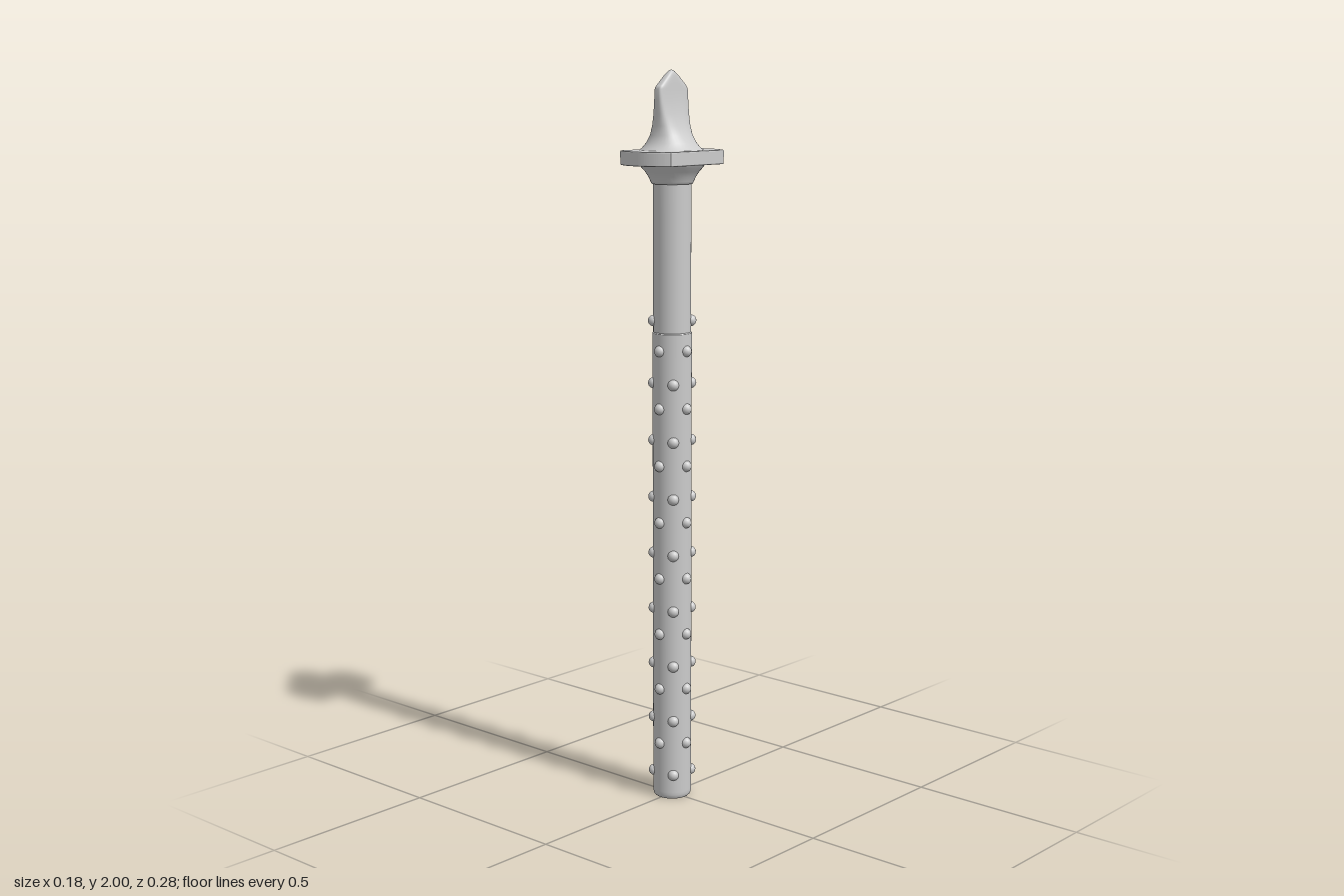
import * as THREE from 'three';

const material = new THREE.MeshStandardMaterial({ color: 0xcccccc, roughness: 0.7 });

function addMesh(parent, name, geometry) {
  const mesh = new THREE.Mesh(geometry, material);
  mesh.name = name;
  parent.add(mesh);
  return mesh;
}

function lathe(points, sides = 40) {
  return new THREE.LatheGeometry(points.map(([r, y]) => new THREE.Vector2(r, y)), sides);
}

// Flange outline: a disc with its left and right sides cut flat
function flangeGeometry() {
  const halfWidth = 0.087, radius = 0.135, bevel = 0.003;
  const a = Math.acos(halfWidth / radius);
  const shape = new THREE.Shape();
  shape.absarc(0, 0, radius, a, Math.PI - a, false);
  shape.absarc(0, 0, radius, Math.PI + a, 2 * Math.PI - a, false);
  shape.closePath();
  const geometry = new THREE.ExtrudeGeometry(shape, {
    depth: 0.032, curveSegments: 20,
    bevelEnabled: true, bevelSize: bevel, bevelThickness: bevel, bevelSegments: 2,
  });
  return geometry.rotateX(-Math.PI / 2).translate(0, 1.756, 0);
}

// Loft of superellipse rings: [y, half width, half depth, roundness exponent]
function loftGeometry(sections, sides = 40) {
  const positions = [], index = [];
  const power = (v, e) => Math.sign(v) * Math.pow(Math.abs(v), e);
  for (const [y, hx, hz, n] of sections) {
    for (let i = 0; i < sides; i++) {
      const t = (i / sides) * Math.PI * 2;
      positions.push(hx * power(Math.sin(t), 2 / n), y, hz * power(Math.cos(t), 2 / n));
    }
  }
  for (let s = 0; s < sections.length - 1; s++) {
    for (let i = 0; i < sides; i++) {
      const a = s * sides + i, b = s * sides + (i + 1) % sides;
      index.push(a, b, b + sides, a, b + sides, a + sides);
    }
  }
  const geometry = new THREE.BufferGeometry();
  geometry.setAttribute('position', new THREE.Float32BufferAttribute(positions, 3));
  geometry.setIndex(index);
  geometry.computeVertexNormals();
  return geometry;
}

export function createModel() {
  const model = new THREE.Group();
  model.name = 'studdedRod';

  // Studded lower grip with a softened foot, and the smooth upper shaft
  addMesh(model, 'grip', lathe([
    [0, 0], [0.047, 0], [0.047, 0], [0.051, 0.004], [0.053, 0.012], [0.053, 0.02],
    [0.053, 1.305], [0.053, 1.305], [0.051, 1.308], [0.05, 1.308],
  ]));
  addMesh(model, 'upperShaft', lathe([[0.051, 1.3], [0.051, 1.72]]));

  // Flared collar below the flange
  addMesh(model, 'collar', lathe([
    [0.05, 1.703], [0.055, 1.703], [0.058, 1.71], [0.064, 1.723],
    [0.073, 1.736], [0.083, 1.747], [0.088, 1.756],
  ]));
  addMesh(model, 'flange', flangeGeometry());

  // Tip: round foot sweeping up into a flat, pointed blade
  const tip = addMesh(model, 'bladeTip', loftGeometry([
    [1.788, 0.087, 0.09, 2],
    [1.797, 0.076, 0.08, 2],
    [1.81, 0.064, 0.068, 2.1],
    [1.83, 0.048, 0.059, 2.4],
    [1.855, 0.035, 0.056, 2.9],
    [1.885, 0.025, 0.056, 3.5],
    [1.92, 0.018, 0.057, 4],
    [1.95, 0.015, 0.057, 4],
    [1.958, 0.0145, 0.052, 4],
    [1.985, 0.012, 0.022, 3],
    [1.996, 0.008, 0.009, 2],
    [2.0, 0.0005, 0.0005, 2],
  ]));
  tip.position.x = -0.003;

  // Studs: eight columns, every other one raised by half a step
  const studs = new THREE.Group();
  studs.name = 'studs';
  model.add(studs);
  const studGeometry = new THREE.SphereGeometry(0.0155, 14, 10);
  const step = 0.157, radius = 0.05;
  const addStud = (angle, y) => {
    addMesh(studs, 'stud', studGeometry)
      .position.set(Math.sin(angle) * radius, y, Math.cos(angle) * radius);
  };
  for (let column = 0; column < 8; column++) {
    const start = column % 2 ? 0.07 : 0.16;
    for (let row = 0; row < 8; row++) addStud(column * Math.PI / 4, start + row * step);
  }
  // Two extra studs just above the grip
  for (const angle of [-Math.PI / 4, Math.PI * 3 / 4]) addStud(angle, 1.338);

  return model;
}
